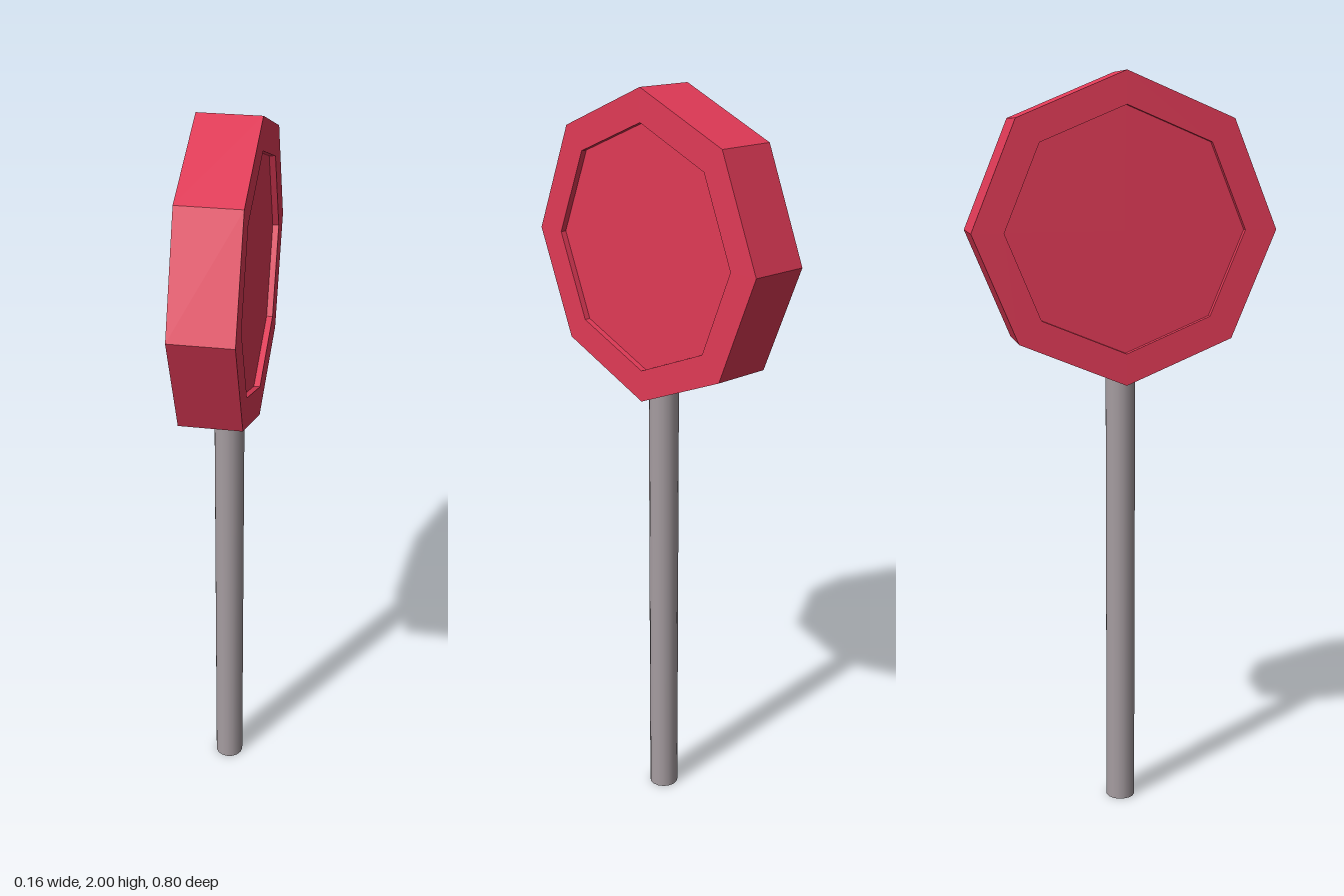
import * as THREE from 'three';

export function createModel() {
  const group = new THREE.Group();
  const red = new THREE.MeshStandardMaterial({ color: 0xe03a56 });
  red.name = 'red';
  const grey = new THREE.MeshStandardMaterial({ color: 0xa69da1 });
  grey.name = 'grey';

  // Octagonal head with a shallow recess in each face, turned about the x axis
  const outer = 0.4, inner = 0.316, half = 0.08, floor = 0.064;
  const profile = [
    [0, -floor], [inner, -floor], [inner, -half], [outer, -half],
    [outer, half], [inner, half], [inner, floor], [0, floor],
  ].map(([r, y]) => new THREE.Vector2(r, y));
  const headGeometry = new THREE.LatheGeometry(profile, 8).toNonIndexed();
  headGeometry.computeVertexNormals(); // flat facets
  headGeometry.rotateZ(-Math.PI / 2);
  const head = new THREE.Mesh(headGeometry, red);
  head.name = 'octagonHead';
  head.position.y = 1.6;
  group.add(head);

  // Round pole, its top buried in the lower corner of the head
  const poleHeight = 1.25;
  const pole = new THREE.Mesh(new THREE.CylinderGeometry(0.04, 0.04, poleHeight, 16), grey);
  pole.name = 'pole';
  pole.position.y = poleHeight / 2;
  group.add(pole);

  return group;
}
